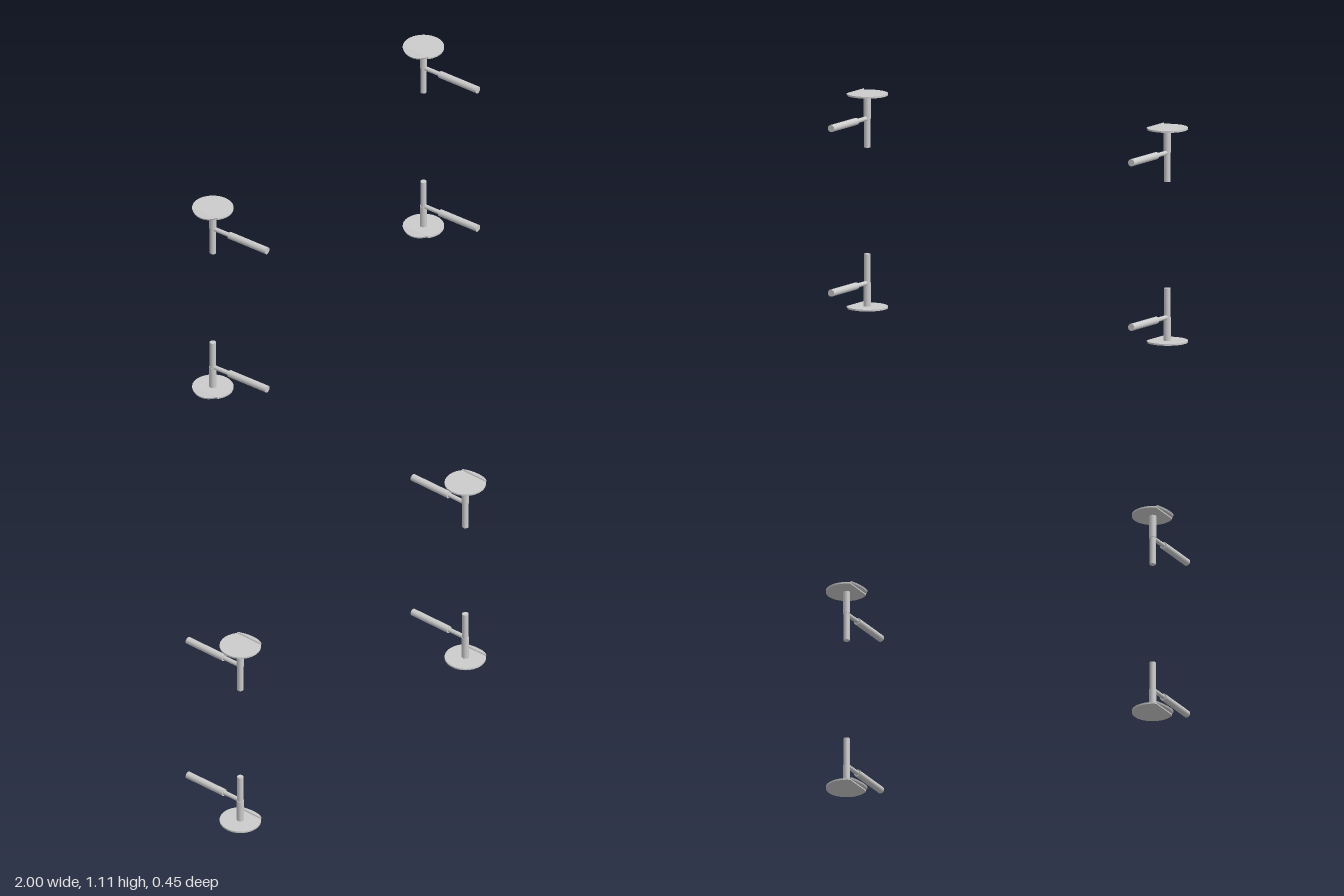
import * as THREE from 'three';

const material = new THREE.MeshStandardMaterial({ color: 0xcccccc });
const X = 0.8955, Z = -0.119;       // post position
const R = 0.1045, T = 0.009;        // disc radius and thickness
const HEIGHT = 1.116, DISC_Y = 0.012, ROD_Y = 0.136, POST_TOP = 0.285;
const CHORD = 0.068;                // distance of the cut from the disc centre
const HALF = Math.acos(CHORD / R);  // half angle of the cut segment

function add(group, name, geometry) {
  const mesh = new THREE.Mesh(geometry, material);
  mesh.name = name;
  group.add(mesh);
  return mesh;
}

// Horizontal plate bounded by an arc and its chord, centred on y = 0
function arcPlate(from, to) {
  const shape = new THREE.Shape();
  shape.absarc(0, 0, R, from, to, false);
  shape.closePath();
  const geometry = new THREE.ExtrudeGeometry(shape, { depth: T, bevelEnabled: false, curveSegments: 40 });
  return geometry.translate(0, 0, -T / 2).rotateX(-Math.PI / 2);
}

// Cylinder standing between two heights
function upright(radius, y0, y1) {
  return new THREE.CylinderGeometry(radius, radius, y1 - y0, 32).translate(0, (y0 + y1) / 2, 0);
}

// Cylinder lying along z
function lying(radius, z0, z1) {
  return new THREE.CylinderGeometry(radius, radius, z1 - z0, 32)
    .rotateX(Math.PI / 2).translate(0, 0, (z0 + z1) / 2);
}

function fitting(isUpper) {
  const group = new THREE.Group();
  const at = (y) => (isUpper ? HEIGHT - y : y);
  const span = (r, a, b) => upright(r, Math.min(at(a), at(b)), Math.max(at(a), at(b)));

  // Disc cut along a chord, with a tilted flap filling the cut
  add(group, 'disc', arcPlate(-Math.PI + HALF, Math.PI - HALF)).position.y = at(DISC_Y);
  const middle = (CHORD + R) / 2;
  const flap = add(group, 'tiltedFlap', arcPlate(Math.PI - HALF, Math.PI + HALF).translate(middle, 0, 0));
  flap.position.set(-middle, at(DISC_Y), 0);
  flap.rotation.z = 0.38;

  // Stepped post
  add(group, 'postBase', span(0.0185, DISC_Y, ROD_Y));
  add(group, 'postEnd', span(0.016, ROD_Y, POST_TOP));

  // Side rod with a thick grip
  add(group, 'rodNeck', lying(0.0115, 0, 0.11)).position.y = at(ROD_Y);
  add(group, 'rodGrip', lying(0.0185, 0.105, 0.342)).position.y = at(ROD_Y);
  return group;
}

export function createModel() {
  const model = new THREE.Group();
  model.name = 'hingeFittings';
  for (const side of [-1, 1]) {
    for (const isUpper of [false, true]) {
      const part = fitting(isUpper);
      part.name = (isUpper ? 'upper' : 'lower') + (side > 0 ? 'Left' : 'Right') + 'Fitting';
      part.position.set(side * X, 0, Z);
      model.add(part);
    }
  }
  return model;
}
